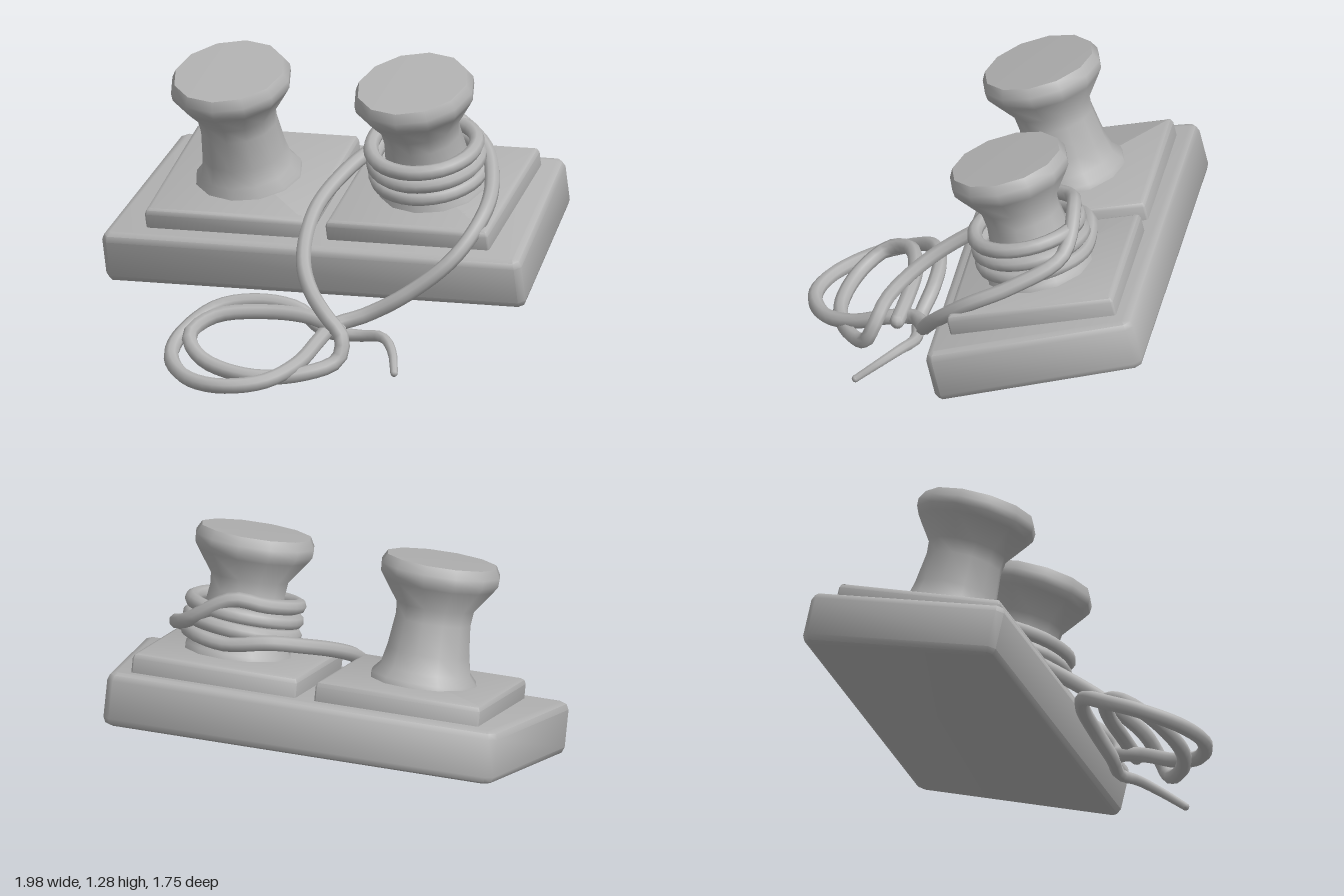
import * as THREE from 'three';
import { toCreasedNormals } from 'three/addons/utils/BufferGeometryUtils.js';

const V = (x, y, z) => new THREE.Vector3(x, y, z);
const grey = new THREE.MeshStandardMaterial({ color: 0xb3b3b3 });
grey.name = 'plain grey';

function mesh(name, geometry, parent) {
  const m = new THREE.Mesh(geometry, grey);
  m.name = name;
  parent.add(m);
  return m;
}

// Slab with clipped corners and rounded edges, from [x, z] corners and a height range
function slab(corners, y0, y1, bevel, clip) {
  const pts = [];
  corners.forEach((c, i) => {
    const p = new THREE.Vector2(c[0], -c[1]);
    for (const j of [i + 3, i + 1]) {
      const q = corners[j % 4];
      const d = new THREE.Vector2(q[0], -q[1]).sub(p).normalize();
      pts.push(p.clone().addScaledVector(d, clip));
    }
  });
  const g = new THREE.ExtrudeGeometry(new THREE.Shape(pts), {
    depth: y1 - y0 - 2 * bevel, bevelEnabled: true, bevelSize: bevel,
    bevelThickness: bevel, bevelOffset: -bevel, bevelSegments: 2,
  });
  g.rotateX(-Math.PI / 2).translate(0, y0 + bevel, 0);
  return toCreasedNormals(g, 0.85);
}

export function createModel() {
  const model = new THREE.Group();
  model.name = 'mooringBollards';

  // Tilted frame holding the base and both posts
  const deck = new THREE.Group();
  deck.name = 'tiltedBase';
  const u = V(1.94, 0.07, 0.27).normalize();
  const n = V(-0.067, 0.971, 0.228).normalize();
  const f = u.clone().cross(n).normalize();
  deck.quaternion.setFromRotationMatrix(new THREE.Matrix4().makeBasis(u, n, f));
  deck.position.set(0.035, 0.355, -0.31);
  model.add(deck);

  // Base slab, wider at the front
  mesh('baseSlab', slab([[-0.98, 0.468], [0.98, 0.468], [0.895, -0.468], [-0.895, -0.468]],
    0, 0.24, 0.035, 0.03), deck);

  // Waisted post profile: radius, height
  const profile = [[0.245, -0.03], [0.24, 0.01], [0.205, 0.05], [0.188, 0.13], [0.172, 0.27],
    [0.178, 0.335], [0.25, 0.435], [0.27, 0.465], [0.272, 0.5], [0.25, 0.54], [0, 0.545]]
    .map(([r, y]) => new THREE.Vector2(r, y));
  const postGeometry = toCreasedNormals(new THREE.LatheGeometry(profile, 12), 0.85);

  // Mounting plates and posts
  const posts = [['right', -0.412, -0.42], ['left', 0.43, 0.435]].map(([side, cx, px]) => {
    const a = cx - 0.378, b = cx + 0.378;
    mesh(side + 'Plate', slab([[a, 0.374], [b, 0.374], [b, -0.386], [a, -0.386]],
      0.2, 0.33, 0.025, 0.008), deck);
    const post = mesh(side + 'Post', postGeometry, deck);
    post.position.set(px, 0.33, 0.01);
    post.rotation.set(0.055, 0, 0.035);
    return post;
  });
  model.updateMatrixWorld(true);

  // Rope: inner coil, up to the post
  const path = [[0.15, 0.2, 0.47], [0.02, 0.24, 0.43], [-0.2, 0.245, 0.4], [-0.42, 0.22, 0.43],
    [-0.51, 0.16, 0.53], [-0.43, 0.09, 0.65], [-0.2, 0.05, 0.73], [0.02, 0.06, 0.69],
    [0.17, 0.11, 0.61], [0.18, 0.2, 0.57], [0.1, 0.28, 0.52], [0.02, 0.35, 0.43],
    [-0.04, 0.43, 0.31], [-0.06, 0.52, 0.17], [-0.04, 0.62, 0.02], [0.03, 0.71, -0.14],
    [0.14, 0.79, -0.3], [0.27, 0.83, -0.38]].map((p) => V(...p));
  // Three turns round the post
  const turns = 3, steps = 10;
  for (let i = 0; i <= turns * steps; i++) {
    const t = Math.PI / 2 - (i / steps) * Math.PI * 2;
    const h = 0.055 + 0.2 * i / (turns * steps);
    path.push(posts[1].localToWorld(V(0.235 * Math.cos(t), h, -0.235 * Math.sin(t))));
  }
  // Down again, round the outer coil and out to the tail
  path.push(...[[0.65, 0.87, -0.27], [0.735, 0.76, -0.05], [0.73, 0.66, 0.15], [0.62, 0.5, 0.3],
    [0.42, 0.34, 0.345], [0.24, 0.24, 0.355], [0.11, 0.2, 0.4], [0.07, 0.17, 0.52],
    [0.0, 0.1, 0.67], [-0.13, 0.05, 0.8], [-0.32, 0.033, 0.845], [-0.48, 0.04, 0.77],
    [-0.58, 0.08, 0.6], [-0.56, 0.14, 0.45], [-0.43, 0.23, 0.33], [-0.25, 0.26, 0.295],
    [-0.06, 0.24, 0.32], [0.07, 0.165, 0.375], [0.22, 0.155, 0.385], [0.34, 0.175, 0.45],
    [0.4, 0.14, 0.54], [0.43, 0.075, 0.645]].map((p) => V(...p)));

  const curve = new THREE.CatmullRomCurve3(path);
  curve.arcLengthDivisions = 1200;
  const segments = 260, sides = 8;
  const rope = new THREE.TubeGeometry(curve, segments, 0.034, sides);
  // Taper the tail
  const pos = rope.attributes.position, v = V(0, 0, 0);
  for (let i = segments - 14; i <= segments; i++) {
    const c = curve.getPointAt(i / segments);
    const k = 1 - 0.5 * (i - segments + 14) / 14;
    for (let j = 0; j <= sides; j++) {
      const id = i * (sides + 1) + j;
      v.fromBufferAttribute(pos, id).sub(c).multiplyScalar(k).add(c);
      pos.setXYZ(id, v.x, v.y, v.z);
    }
  }
  mesh('rope', rope, model);

  // Rounded rope ends
  [[0, 0.034], [1, 0.017]].forEach(([t, r], i) => {
    mesh('ropeEnd' + (i + 1), new THREE.SphereGeometry(r, 8, 6), model)
      .position.copy(curve.getPointAt(t));
  });
  return model;
}
